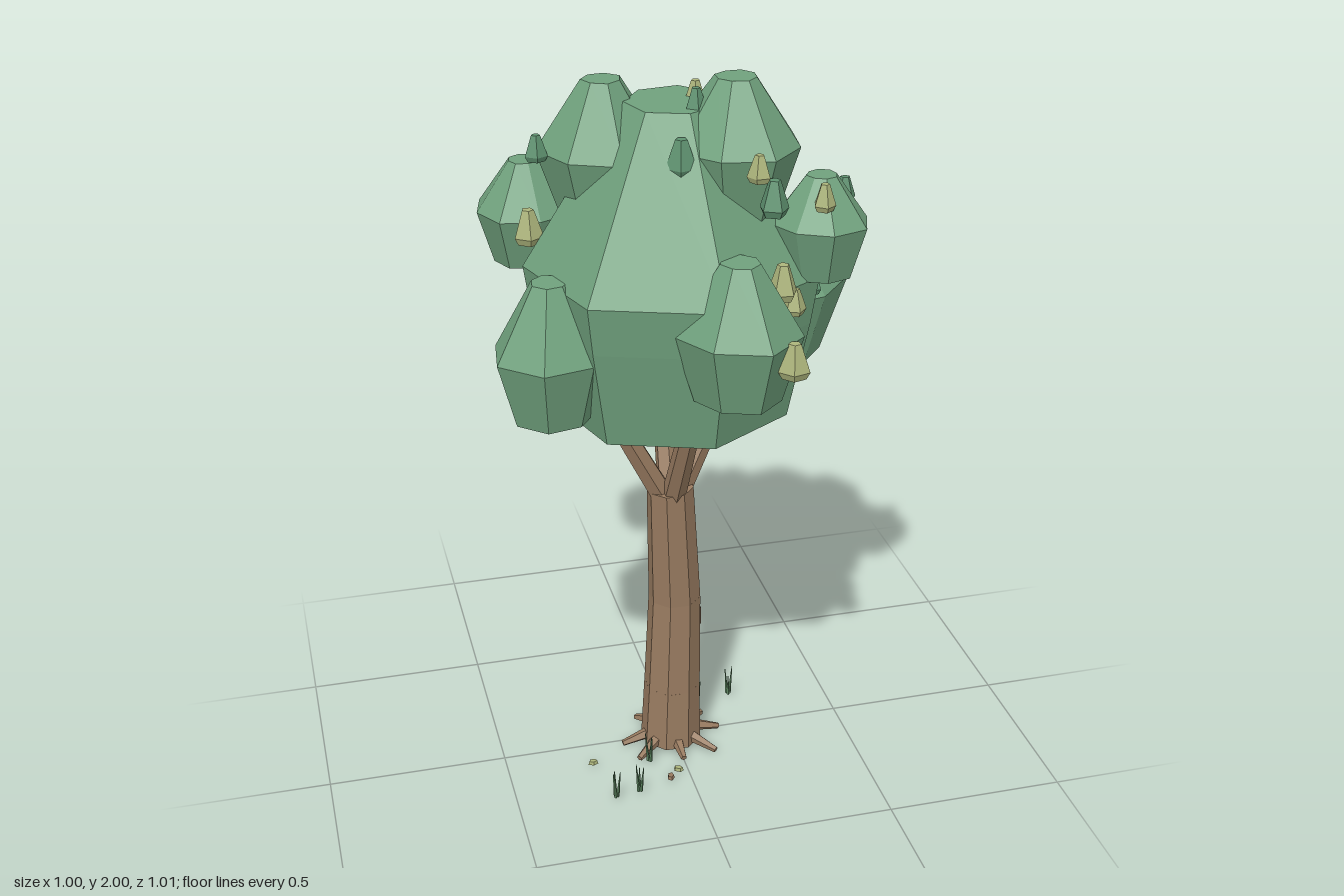
import * as THREE from 'three';

const flat = (color) => new THREE.MeshStandardMaterial({ color, flatShading: true });
const leafGreen = flat(0x70a17d);
const budGreen = flat(0x5f9270);
const budYellow = flat(0xadb57c);
const bark = flat(0x987b60);
const darkBark = flat(0x5a4636);
const grassGreen = flat(0x5c8560);

function add(parent, name, geometry, material) {
  const mesh = new THREE.Mesh(geometry, material);
  mesh.name = name;
  parent.add(mesh);
  return mesh;
}

// Faceted leaf mass: [radius, y] rings from bottom to top, slightly uneven around.
function clumpGeometry(rings, sides, turn, jitter = 0.05) {
  const pts = [[0, rings[0][1]], ...rings, [0, rings[rings.length - 1][1]]];
  const geo = new THREE.LatheGeometry(pts.map(([r, y]) => new THREE.Vector2(r, y)), sides);
  const pos = geo.attributes.position;
  for (let i = 0; i < pos.count; i++) {
    const corner = Math.floor(i / pts.length) % sides;
    const k = 1 + jitter * Math.sin(corner * 2.4 + turn * 5);
    pos.setXYZ(i, pos.getX(i) * k, pos.getY(i), pos.getZ(i) * k);
  }
  geo.rotateY(turn);
  return geo;
}

// Tapered limb between two points.
function limb(parent, name, from, to, r0, r1, sides, material) {
  const a = new THREE.Vector3(...from), b = new THREE.Vector3(...to);
  const dir = b.clone().sub(a);
  const mesh = add(parent, name, new THREE.CylinderGeometry(r1, r0, dir.length(), sides), material);
  mesh.position.copy(a).add(b).multiplyScalar(0.5);
  mesh.quaternion.setFromUnitVectors(new THREE.Vector3(0, 1, 0), dir.normalize());
  return mesh;
}

function buildTrunk() {
  const trunk = new THREE.Group();
  trunk.name = 'trunk';
  // Slightly bent segments with a flat side facing front
  const joints = [[-0.008, 0.01, 0.01, 0.087], [-0.003, 0.19, 0.008, 0.081],
    [0.005, 0.48, 0.005, 0.074], [-0.012, 0.84, 0.023, 0.065]];
  for (let i = 0; i < 3; i++) {
    const [x0, y0, z0, r0] = joints[i], [x1, y1, z1, r1] = joints[i + 1];
    limb(trunk, 'trunkSegment', [x0, y0, z0], [x1, y1 + 0.004, z1], r0, r1, 8, bark).rotateY(Math.PI / 8);
  }
  const knot = add(trunk, 'knot', new THREE.BoxGeometry(0.012, 0.055, 0.02), darkBark);
  knot.position.set(0.073, 0.41, 0.01);

  // Branches spreading into the crown
  for (const [x, z] of [[-0.2, 0.05], [0.18, -0.04], [0.01, 0.19], [0.0, -0.14]]) {
    limb(trunk, 'branch', [-0.01 + x * 0.12, 0.82, 0.022 + z * 0.12], [x, 1.14, z], 0.034, 0.027, 6, bark);
  }

  // Roots fanning over the ground
  for (let i = 0; i < 8; i++) {
    const a = i * Math.PI / 4 + 0.2 * Math.sin(i * 3);
    const len = 0.145 + 0.015 * Math.sin(i * 2.3);
    const at = (r, y) => [-0.008 + r * Math.cos(a), y, 0.01 + r * Math.sin(a)];
    limb(trunk, 'root', at(0.05, 0.035), at(len, 0.012), 0.02, 0.009, 5, bark);
  }
  return trunk;
}

function buildCrown() {
  const crown = new THREE.Group();
  crown.name = 'crown';
  add(crown, 'crownCore', clumpGeometry([[0.24, 1.07], [0.33, 1.35], [0.2, 1.5]], 8, 0.2, 0.02), leafGreen)
    .position.set(0.01, 0, 0.01);
  add(crown, 'mainCanopy',
    clumpGeometry([[0.315, 1.1], [0.37, 1.37], [0.39, 1.5], [0.125, 1.925]], 7, 0.1, 0.03), leafGreen)
    .position.set(0, 0, 0.005);

  // x, z, bottom, rim height, top, rim radius, sides
  const clumps = [
    [0.14, 0.09, 1.66, 1.83, 2.0, 0.172, 8],
    [-0.165, -0.07, 1.63, 1.79, 1.97, 0.165, 7],
    [-0.345, -0.21, 1.46, 1.6, 1.73, 0.137, 8],
    [-0.35, 0.13, 1.15, 1.33, 1.52, 0.157, 7],
    [0.34, 0.18, 1.5, 1.64, 1.76, 0.128, 8],
    [0.085, 0.34, 1.25, 1.43, 1.61, 0.165, 7],
    [0.29, -0.1, 1.17, 1.38, 1.56, 0.212, 8],
    [-0.055, -0.315, 1.22, 1.4, 1.53, 0.18, 8],
  ];
  clumps.forEach(([x, z, y0, y1, y2, r, sides], i) => {
    const rings = [[r * 0.68, y0], [r, y1], [r * 0.31, y2]];
    add(crown, 'leafClump', clumpGeometry(rings, sides, i * 0.7 + 0.3), leafGreen).position.set(x, 0, z);
  });

  // Small leaf tufts on the canopy surface
  const greenBuds = [[-0.05, 1.47, -0.47], [0.07, 1.4, -0.44], [0.28, 1.39, -0.31], [0.45, 1.34, -0.24],
    [0.16, 1.74, -0.08], [0.04, 1.94, 0.08], [-0.02, 1.83, 0.17], [0.36, 1.43, 0.07],
    [0.415, 1.7, 0.14], [0.19, 1.74, 0.265], [-0.34, 1.81, -0.05]];
  const yellowBuds = [[-0.365, 1.6, -0.06], [0.065, 1.93, -0.02], [0.14, 1.83, 0.3], [0.2, 1.54, 0.32],
    [0.235, 1.48, 0.31], [0.32, 1.73, 0.265], [0.19, 1.39, 0.46]];
  const bud = (material, name) => ([x, y, z], i) => {
    const s = 1 + 0.2 * Math.cos(i * 2.1);
    const rings = [[0.025 * s, -0.038 * s], [0.033 * s, -0.022 * s], [0.013 * s, 0.038 * s]];
    add(crown, name, clumpGeometry(rings, 5, i), material).position.set(x, y, z);
  };
  greenBuds.forEach(bud(budGreen, 'greenLeafTuft'));
  yellowBuds.forEach(bud(budYellow, 'yellowLeafTuft'));
  return crown;
}

function buildGround() {
  const ground = new THREE.Group();
  ground.name = 'groundDetails';
  // Grass blades in tufts of three
  for (const [x, z] of [[-0.23, 0.27], [-0.16, 0.26], [-0.1, 0.13], [0.11, -0.13], [0.21, -0.14]]) {
    for (let i = 0; i < 3; i++) {
      const dx = Math.cos(i * 2.1 + x * 9), dz = Math.sin(i * 2.1 + x * 9);
      limb(ground, 'grassBlade', [x + dx * 0.004, 0.015, z + dz * 0.004],
        [x + dx * 0.012, 0.085 + 0.012 * i, z + dz * 0.012], 0.005, 0.001, 4, grassGreen);
    }
  }
  // Fallen leaves and chips
  const chips = [[-0.26, 0.1], [-0.06, 0.22], [-0.03, 0.19], [0.05, -0.17], [0.08, -0.18], [0.15, -0.32]];
  chips.forEach(([x, z], i) => {
    const chip = add(ground, 'fallenLeaf', new THREE.CylinderGeometry(0.012, 0.015, 0.01, 5),
      i % 2 ? bark : budYellow);
    chip.position.set(x, 0.017, z);
    chip.scale.z = 0.7;
    chip.rotation.y = i * 1.3;
  });
  return ground;
}

export function createModel() {
  const tree = new THREE.Group();
  tree.name = 'tree';
  tree.add(buildTrunk(), buildCrown(), buildGround());
  return tree;
}
